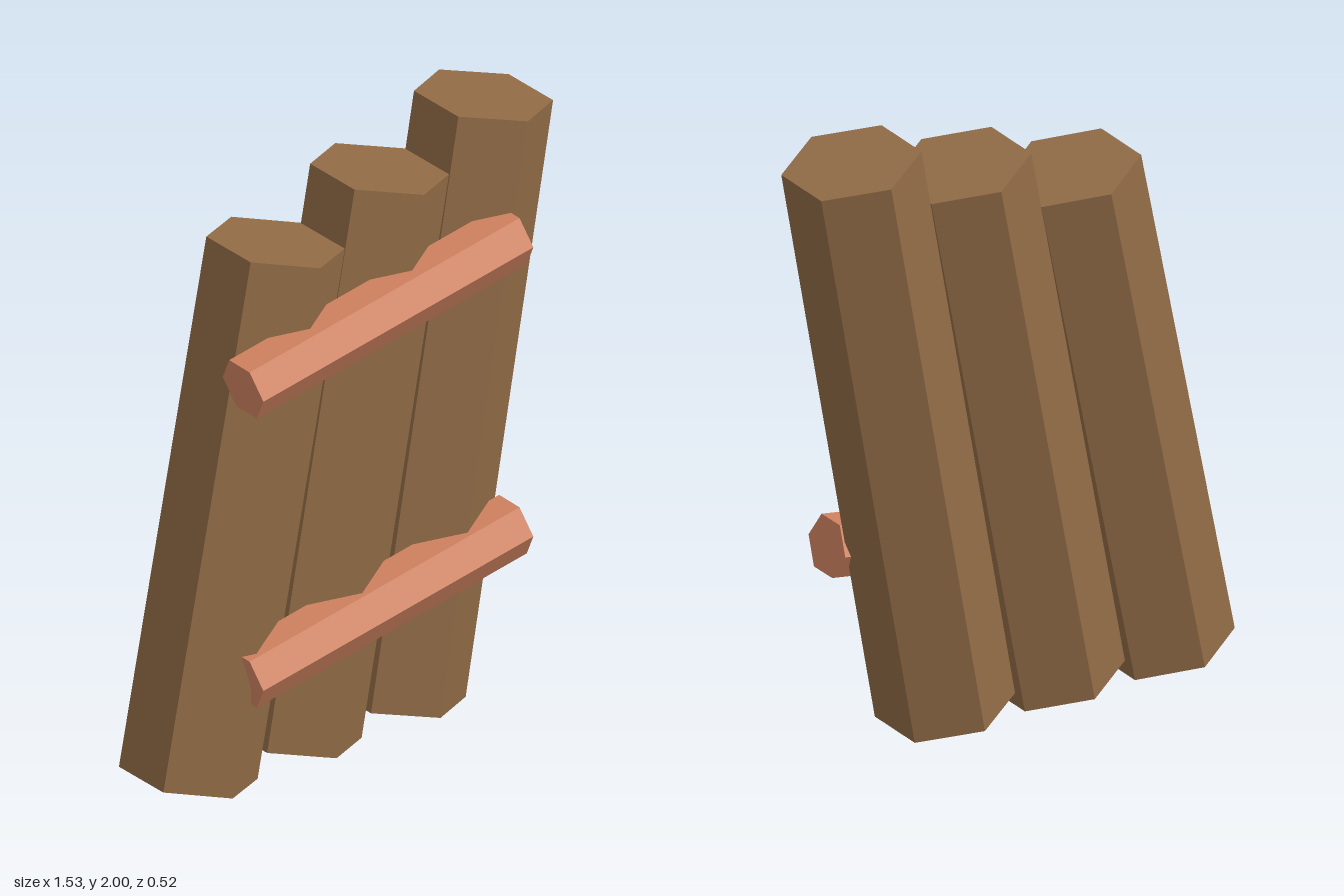
import * as THREE from 'three';

export function createModel() {
  const model = new THREE.Group();
  const brownWood = new THREE.MeshStandardMaterial({ color: 0x916b46 });
  const redWood = new THREE.MeshStandardMaterial({ color: 0xd08260 });
  brownWood.name = 'brownWood';
  redWood.name = 'redWood';
  brownWood.flatShading = redWood.flatShading = true;

  // Six-sided beam between two end centres, with edges pointing to front and back
  function beam(name, start, end, radius, material) {
    const a = new THREE.Vector3(...start);
    const b = new THREE.Vector3(...end);
    const axis = b.clone().sub(a);
    const mesh = new THREE.Mesh(new THREE.CylinderGeometry(radius, radius, axis.length(), 6), material);
    mesh.name = name;
    mesh.position.copy(a).add(b).multiplyScalar(0.5);
    mesh.quaternion.setFromUnitVectors(new THREE.Vector3(0, 1, 0), axis.normalize());
    model.add(mesh);
  }

  // Leaning posts, each taller than the last
  [['rightPost', -0.585, 1.738], ['middlePost', -0.183, 1.853], ['leftPost', 0.219, 1.968]]
    .forEach(([name, x, top]) =>
      beam(name, [x, 0.043, -0.01], [x + 0.365, top, -0.044], 0.215, brownWood));

  // Sloping rails across the front
  [['lowerRail', 0.505], ['upperRail', 1.507]].forEach(([name, y]) =>
    beam(name, [-0.511, y - 0.086, 0.163], [0.533, y + 0.086, 0.163], 0.099, redWood));

  return model;
}
